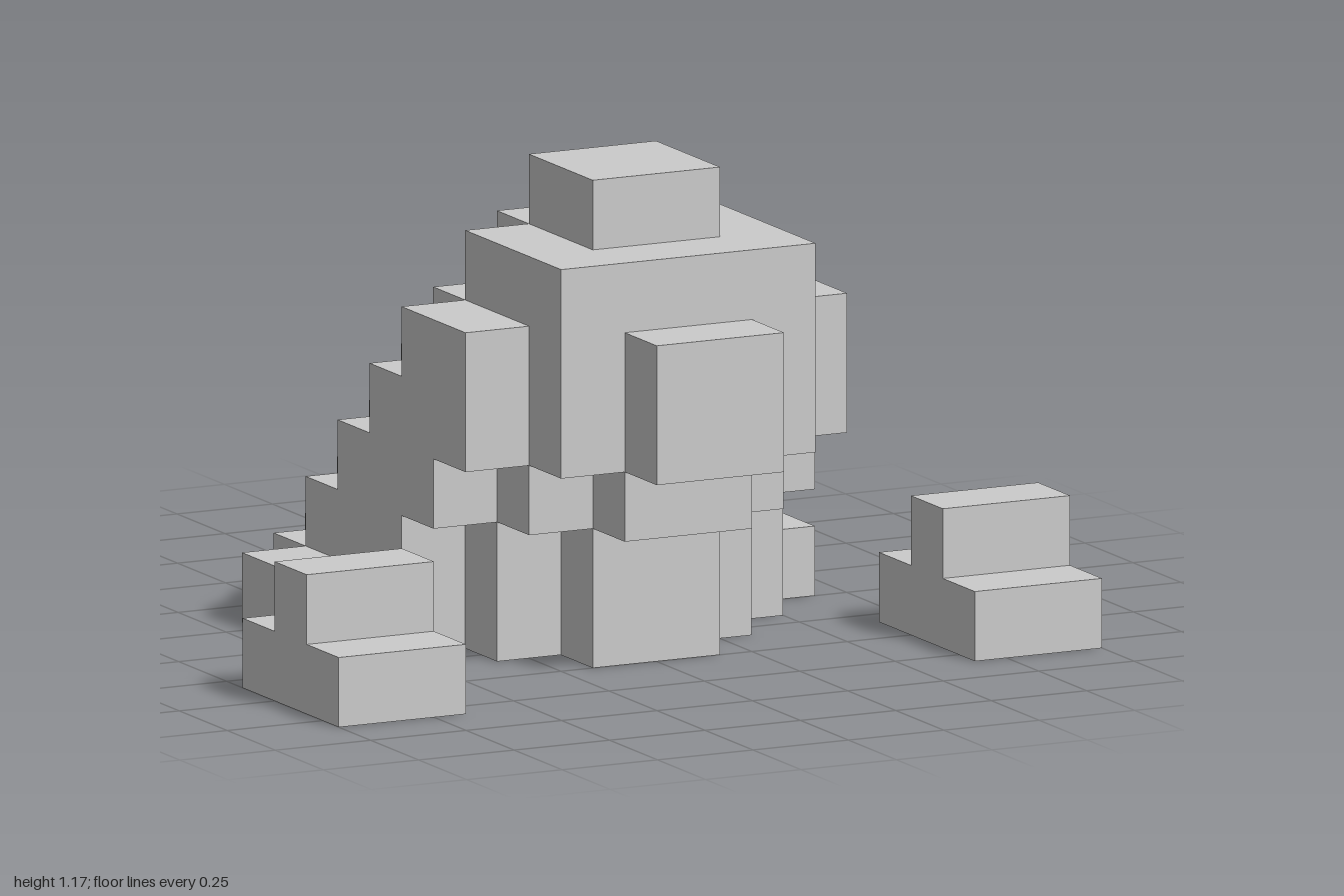
import * as THREE from 'three';

const U = 1 / 6; // edge of one block
const grey = new THREE.MeshStandardMaterial({ color: 0xcccccc, flatShading: true });

// Box spanning block coordinates [x0,x1] x [y0,y1] x [z0,z1]
function block(name, [x0, x1], [y0, y1], [z0, z1]) {
  const geo = new THREE.BoxGeometry((x1 - x0) * U, (y1 - y0) * U, (z1 - z0) * U);
  geo.translate((x0 + x1) / 2 * U, (y0 + y1) / 2 * U, (z0 + z1) / 2 * U);
  const mesh = new THREE.Mesh(geo, grey);
  mesh.name = name;
  return mesh;
}

// Mirrored stepped slab: entry i gives back and front z of the strip |x| < i + 1
function slab(name, y, backs, fronts) {
  const half = [];
  backs.forEach((b, i) => half.push([i, b], [i + 1, b]));
  for (let i = fronts.length - 1; i >= 0; i--) half.push([i + 1, fronts[i]], [i, fronts[i]]);
  const right = half.filter(([x, z], i) =>
    x > 0 && !(i > 0 && half[i - 1][0] === x && half[i - 1][1] === z));
  const left = right.map(([x, z]) => [-x, z]).reverse();
  const outline = [...right, ...left].map(([x, z]) => new THREE.Vector2(x * U, -z * U));
  const geo = new THREE.ExtrudeGeometry(new THREE.Shape(outline), { depth: U, bevelEnabled: false });
  geo.rotateX(-Math.PI / 2);
  geo.translate(0, y * U, 0);
  const mesh = new THREE.Mesh(geo, grey);
  mesh.name = name;
  return mesh;
}

// Foot: inverted T profile in z/y, extruded across x
function foot(name, x0) {
  const pts = [[2, 0], [5, 0], [5, 1], [4, 1], [4, 2], [3, 2], [3, 1], [2, 1]];
  const shape = new THREE.Shape(pts.map(([z, y]) => new THREE.Vector2(-z * U, y * U)));
  const geo = new THREE.ExtrudeGeometry(shape, { depth: 2 * U, bevelEnabled: false });
  geo.rotateY(Math.PI / 2);
  geo.translate(x0 * U, 0, 0);
  const mesh = new THREE.Mesh(geo, grey);
  mesh.name = name;
  return mesh;
}

export function createModel() {
  const model = new THREE.Group();
  model.name = 'blockCreature';

  // Body and head: the back climbs one block forward per layer
  const fronts = [[3, 2, 1], [3, 2, 1], [4, 3, 2], [4, 4, 3], [4, 4, 3], [4, 4]];
  fronts.forEach((front, y) => {
    const backs = front.map((_, i) => y - 5 + i);
    model.add(slab(y < 3 ? `bodyLayer${y + 1}` : `headLayer${y - 2}`, y, backs, front));
  });

  // Snout and crown
  model.add(block('snout', [-1, 1], [3, 5], [4, 5]));
  model.add(block('crown', [-1, 1], [6, 7], [1, 3]));

  // Side fins low on the body
  model.add(block('leftFin', [3, 4], [0, 1], [-2, 0]));
  model.add(block('rightFin', [-4, -3], [0, 1], [-2, 0]));

  // Detached feet
  model.add(foot('leftFoot', 4), foot('rightFoot', -6));

  return model;
}
